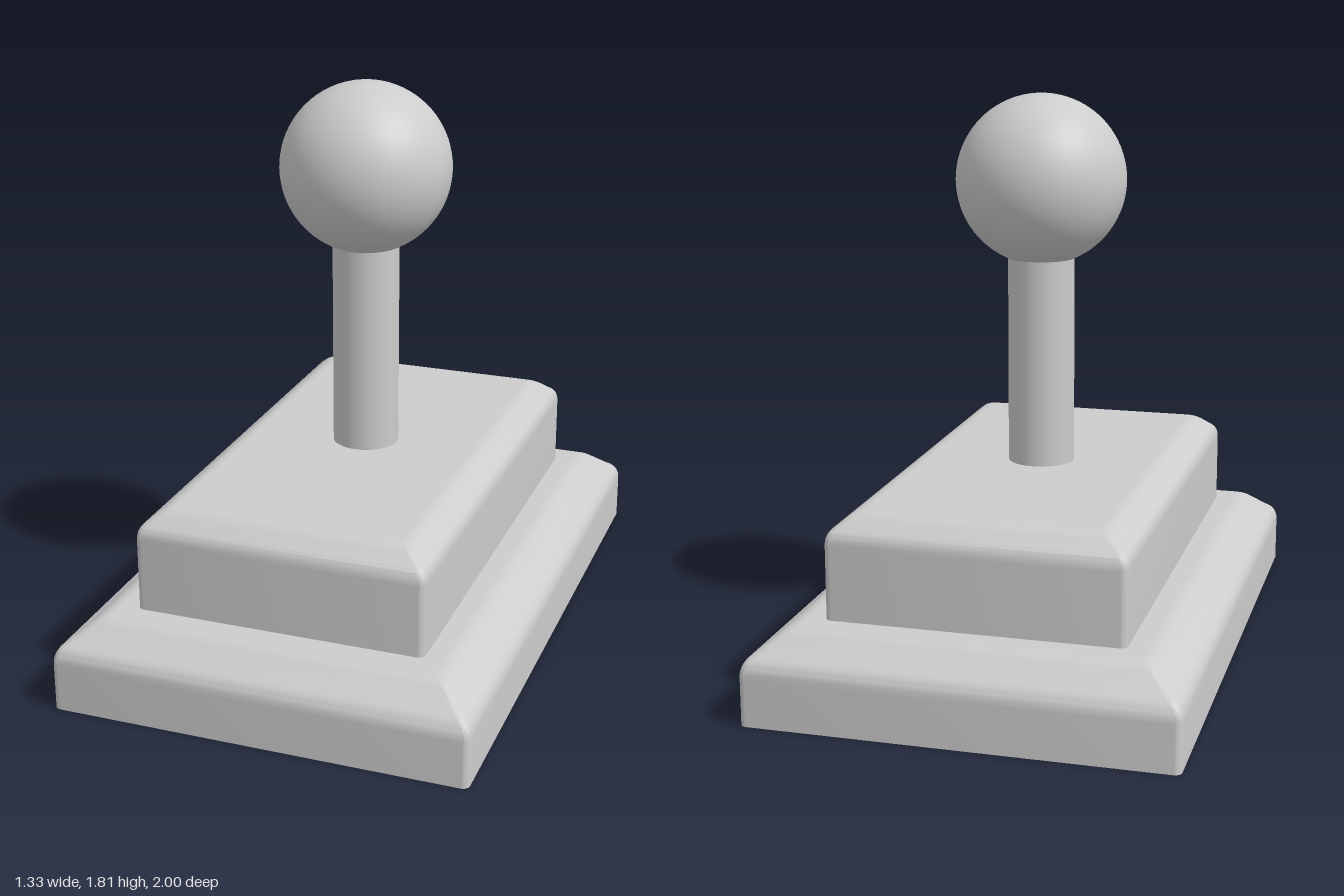
import * as THREE from 'three';
import { toCreasedNormals, mergeVertices } from 'three/addons/utils/BufferGeometryUtils.js';

// Rounded rectangle outline, counter-clockwise
function outline(hx, hz, r = 0.022, steps = 6) {
  const pts = [];
  for (let c = 0; c < 4; c++) {
    const sx = c === 0 || c === 3 ? 1 : -1;
    const sz = c < 2 ? 1 : -1;
    for (let i = 0; i <= steps; i++) {
      const a = (c + i / steps) * Math.PI / 2;
      pts.push(new THREE.Vector2(sx * (hx - r) + r * Math.cos(a), sz * (hz - r) + r * Math.sin(a)));
    }
  }
  return pts;
}

// Edge profile as (inset, height): wall, soft shoulder, slope, soft top edge
function edgeProfile(y0, p, top) {
  const v = ([x, y]) => new THREE.Vector2(x, y);
  const lower = new THREE.QuadraticBezierCurve(v(p[0]), v(p[1]), v(p[2]));
  const upper = new THREE.QuadraticBezierCurve(v(p[3]), v(p[4]), v([p[5], top]));
  return [v([0, y0]), ...lower.getPoints(8), ...upper.getPoints(8)];
}

// Sides of a tier: outline rings stacked along the profile
function tierSides(hx, hz, profile) {
  const pos = [], idx = [];
  const n = outline(hx, hz).length;
  profile.forEach((q, k) => {
    for (const p of outline(hx - q.x, hz - q.x)) pos.push(p.x, q.y, -p.y);
    if (k === 0) return;
    for (let j = 0; j < n; j++) {
      const a = (k - 1) * n + j, b = (k - 1) * n + (j + 1) % n;
      idx.push(a, b, b + n, a, b + n, a + n);
    }
  });
  const g = new THREE.BufferGeometry();
  g.setAttribute('position', new THREE.Float32BufferAttribute(pos, 3));
  g.setIndex(idx);
  return toCreasedNormals(mergeVertices(g), 0.6);
}

export function createModel() {
  const model = new THREE.Group();
  model.name = 'joystick';
  const grey = new THREE.MeshStandardMaterial({ color: 0xcccccc });
  grey.name = 'light grey';

  const add = (name, geometry, parent = model) => {
    const mesh = new THREE.Mesh(geometry, grey);
    mesh.name = name;
    parent.add(mesh);
    return mesh;
  };

  const shaftR = 0.108;

  // Two stepped tiers with softly chamfered tops
  const tier = (name, hx, hz, profile) => {
    const group = new THREE.Group();
    group.name = name;
    model.add(group);
    add(name + 'Sides', tierSides(hx, hz, profile), group);
    const end = profile[profile.length - 1];
    const cap = new THREE.ShapeGeometry(new THREE.Shape(outline(hx - end.x, hz - end.x)));
    add(name + 'Top', cap.rotateX(-Math.PI / 2), group).position.y = end.y;
    return group;
  };
  const base = tier('base', 0.665, 1, edgeProfile(0,
    [[0, 0.15], [0, 0.195], [0.035, 0.215], [0.09, 0.26], [0.115, 0.28], 0.145], 0.28));
  tier('upperBlock', 0.465, 0.8, edgeProfile(0.27,
    [[0, 0.51], [0, 0.545], [0.02, 0.56], [0.05, 0.585], [0.075, 0.605], 0.1], 0.605));

  // Underside with a round recess below the shaft
  const under = new THREE.Shape(outline(0.665, 1));
  under.holes.push(new THREE.Path().absarc(0, 0, shaftR, 0, Math.PI * 2, true));
  add('underside', new THREE.ShapeGeometry(under, 24).rotateX(Math.PI / 2), base);
  const recess = [[0, 0.06], [shaftR, 0.06], [shaftR, 0]].map(([x, y]) => new THREE.Vector2(x, y));
  add('recess', toCreasedNormals(new THREE.LatheGeometry(recess, 48), 0.6), base);

  // Shaft and ball knob
  add('shaft', new THREE.CylinderGeometry(shaftR, shaftR, 0.75, 48, 1, true)).position.y = 0.935;
  add('knob', new THREE.SphereGeometry(0.275, 64, 40)).position.y = 1.532;

  return model;
}
